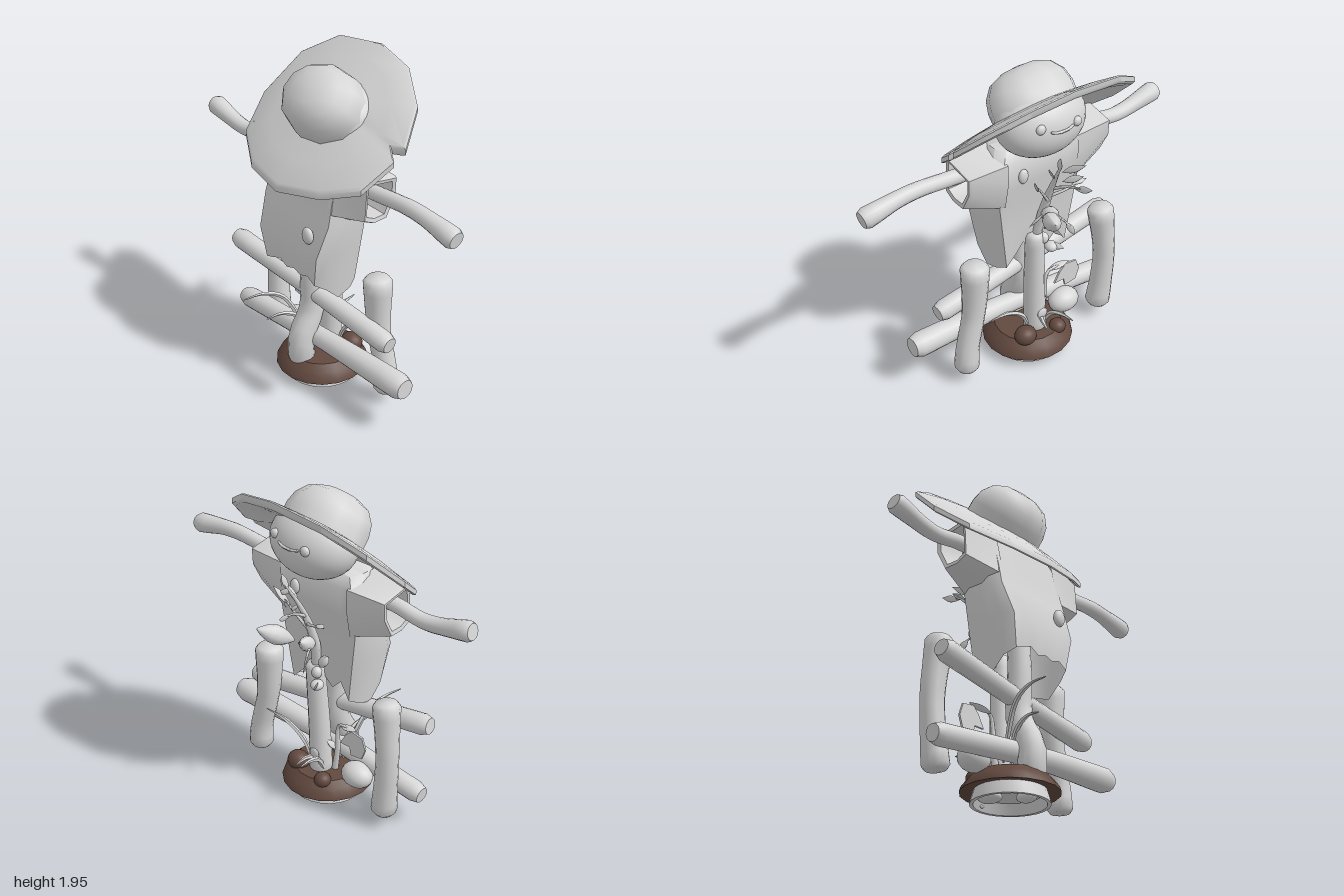
import * as THREE from 'three';
import { mergeVertices, toCreasedNormals } from 'three/addons/utils/BufferGeometryUtils.js';

const grey = new THREE.MeshStandardMaterial({ color: 0xd6d6d6, side: THREE.DoubleSide });
grey.name = 'paleGrey';
const brown = new THREE.MeshStandardMaterial({ color: 0x62493f, side: THREE.DoubleSide });
brown.name = 'soilBrown';
const V = (p) => new THREE.Vector3(...p);

export function createModel() {
  const model = new THREE.Group();
  const add = (name, geometry, material = grey, parent = model) => {
    const mesh = new THREE.Mesh(geometry, material);
    mesh.name = name;
    parent.add(mesh);
    return mesh;
  };
  const group = (name) => {
    const g = new THREE.Group();
    g.name = name;
    model.add(g);
    return g;
  };

  // Bent log or twig with varying radius and blunt, softened ends
  const limb = (name, points, radii, parent = model, sides = 14) => {
    const curve = new THREE.CatmullRomCurve3(points.map(V));
    const n = 20;
    const geo = new THREE.TubeGeometry(curve, n, 1, sides);
    const pos = geo.attributes.position, v = new THREE.Vector3();
    for (let i = 0; i <= n; i++) {
      const s = Math.min(1, Math.max(0, (i - 1) / (n - 2)));
      const k = s * (radii.length - 1), a = Math.min(Math.floor(k), radii.length - 2);
      const edge = Math.min(i, n - i);
      const r = THREE.MathUtils.lerp(radii[a], radii[a + 1], k - a) * (edge === 0 ? 0 : edge === 1 ? 0.75 : 1);
      const old = curve.getPointAt(i / n);
      let t = s;
      if (edge === 2) t = i === 2 ? 0.035 : 0.965;
      const centre = curve.getPointAt(t);
      for (let j = 0; j <= sides; j++) {
        const id = i * (sides + 1) + j;
        v.fromBufferAttribute(pos, id).sub(old).multiplyScalar(r).add(centre);
        pos.setXYZ(id, v.x, v.y, v.z);
      }
    }
    geo.deleteAttribute('uv');
    geo.deleteAttribute('normal');
    return add(name, toCreasedNormals(mergeVertices(geo, 1e-5), 1.1), grey, parent);
  };

  // Pointed ellipsoid from base to tip, flattened for leaves
  const spindle = (name, base, tip, width, flat, parent = model, point = 0.6) => {
    const a = V(base), b = V(tip), len = a.distanceTo(b);
    const geo = new THREE.SphereGeometry(1, 12, 10), p = geo.attributes.position;
    for (let i = 0; i < p.count; i++) {
      const k = 1 - point * Math.abs(p.getY(i)) ** 2;
      p.setXYZ(i, p.getX(i) * width * k, p.getY(i) * len / 2, p.getZ(i) * width * flat * k);
    }
    geo.computeVertexNormals();
    const mesh = add(name, geo, grey, parent);
    mesh.position.copy(a).add(b).multiplyScalar(0.5);
    mesh.quaternion.setFromUnitVectors(new THREE.Vector3(0, 1, 0), b.sub(a).normalize());
    return mesh;
  };
  const ball = (name, at, size, material = grey, parent = model) => {
    const mesh = add(name, new THREE.SphereGeometry(1, 18, 12), material, parent);
    mesh.position.set(...at);
    mesh.scale.set(...size);
    return mesh;
  };

  // Skin through equal rings of points
  const loft = (name, rings, parent, crease = 0.5) => {
    const m = rings[0].length, index = [];
    for (let i = 0; i < rings.length - 1; i++)
      for (let j = 0; j < m; j++) {
        const a = i * m + j, b = i * m + (j + 1) % m;
        index.push(a, b, a + m, b, b + m, a + m);
      }
    const geo = new THREE.BufferGeometry();
    geo.setAttribute('position', new THREE.Float32BufferAttribute(rings.flat(2), 3));
    geo.setIndex(index);
    return add(name, toCreasedNormals(geo, crease), grey, parent);
  };
  const lathe = (profile, sides, crease = 0.6) =>
    toCreasedNormals(new THREE.LatheGeometry(profile.map((p) => new THREE.Vector2(...p)), sides), crease);

  // Soil mound on a low hollow foot
  const soil = add('soilMound', lathe([[0.19, 0.075], [0.27, 0.06], [0.262, 0.085], [0.235, 0.12], [0.2, 0.155],
    [0, 0.165]], 18), brown);
  const foot = add('foot', lathe([[0, 0.06], [0.17, 0.06], [0.195, 0], [0.215, 0], [0.205, 0.04], [0.19, 0.09]], 24));
  for (const m of [soil, foot]) m.position.set(-0.03, 0, -0.05);
  ball('footPebble', [0.05, 0.04, -0.12], [0.07, 0.03, 0.06]);
  ball('footPebble', [-0.1, 0.04, 0.0], [0.06, 0.03, 0.05]);
  ball('footPebble', [0.17, 0.025, -0.07], [0.025, 0.012, 0.025]);
  ball('soilClod', [0.1, 0.175, 0.065], [0.062, 0.058, 0.068], brown);
  ball('soilClod', [0.13, 0.155, -0.15], [0.05, 0.045, 0.05], brown);
  ball('boulder', [0.0, 0.195, -0.3], [0.08, 0.075, 0.1]);

  // Fence
  const fence = group('fence');
  limb('fencePost', [[0.03, 0.08, 0.44], [0.03, 0.22, 0.43], [0.025, 0.48, 0.375], [0.025, 0.8, 0.358]],
    [0.075, 0.066, 0.066, 0.075, 0.087], fence);
  limb('fencePost', [[0.04, 0.08, -0.535], [0.05, 0.25, -0.55], [0.055, 0.48, -0.56], [0.04, 0.81, -0.53]],
    [0.077, 0.068, 0.065, 0.07, 0.082], fence);
  limb('upperRail', [[-0.065, 0.495, 0.56], [-0.09, 0.56, 0], [-0.135, 0.645, -0.7]], [0.062, 0.055, 0.062], fence);
  limb('lowerRail', [[-0.095, 0.305, 0.72], [-0.1, 0.28, 0.1], [-0.09, 0.2, -0.7]], [0.076, 0.06, 0.062], fence);

  // Stump in front, crooked pole behind that carries the figure
  limb('stump', [[0.035, 0.12, -0.055], [0.04, 0.45, -0.045], [0.06, 0.87, -0.03]], [0.068, 0.062, 0.055]);
  ball('stumpKnot', [0.1, 0.28, -0.06], [0.012, 0.035, 0.035]);
  limb('pole', [[-0.18, 0.1, -0.055], [-0.18, 0.28, -0.055], [-0.1, 0.45, -0.055], [-0.1, 0.75, -0.055],
    [-0.05, 1.45, -0.055]], [0.08, 0.075, 0.065, 0.065, 0.06]);

  // Arms
  limb('leftArm', [[-0.05, 1.36, 0.2], [-0.05, 1.38, 0.42], [-0.05, 1.4, 0.7], [-0.05, 1.36, 0.99]],
    [0.04, 0.042, 0.042, 0.046, 0.062]);
  limb('rightArm', [[-0.04, 1.37, -0.3], [-0.045, 1.365, -0.5], [-0.05, 1.335, -0.7], [-0.05, 1.39, -0.99]],
    [0.04, 0.042, 0.042, 0.046, 0.06]);

  // Shirt body: levels of height, back x, front x, half width; ragged last level
  const shirt = group('shirt');
  const zc = -0.055, jag = [0.69, 0.75, 0.82, 0.73, 0.79, 0.74, 0.8, 0.7];
  const level = (y, x0, x1, w, hem) => {
    const ring = [], c = 0.06, half = (f) => f * (w - 0.03);
    const side = (s) => [[x1 - c, hem ? 0.67 : y, zc + s * w], [(x0 + x1) / 2, hem ? 0.64 : y, zc + s * w],
      [x0 + c, hem ? 0.725 : y, zc + s * w]];
    for (let i = 0; i < 8; i++) ring.push([x1, hem ? jag[i] : y, zc + half(1 - i * 2 / 7)]);
    ring.push(...side(-1));
    for (let i = 0; i < 8; i++) ring.push([x0, hem ? jag[i] / 3 + 0.53 : y, zc - half(1 - i * 2 / 7)]);
    ring.push(...side(1).reverse());
    return ring;
  };
  loft('shirtBody', [level(1.49, -0.09, 0.03, 0.08), level(1.48, -0.12, 0.05, 0.24), level(1.42, -0.135, 0.095, 0.29),
    level(1.26, -0.175, 0.09, 0.29), level(1.14, -0.205, 0.065, 0.298), level(0.95, -0.27, 0.055, 0.272),
    level(0.72, -0.255, 0.04, 0.237, true)], shirt, 0.8);

  // Open six-sided sleeves, flush with the chest, with a turned-in cuff
  const cuff = [[-0.125, 1.47], [0.09, 1.43], [0.085, 1.33], [0.02, 1.205], [-0.07, 1.205], [-0.14, 1.24]];
  const shoulder = [[-0.13, 1.48], [0.1, 1.43], [0.105, 1.32], [0.072, 1.14], [-0.09, 1.14], [-0.19, 1.2]];
  for (const s of [1, -1]) {
    const at = (ring, d) => ring.map(([x, y]) => [x, y, zc + s * d]);
    const inset = (k) => cuff.map(([x, y]) => [-0.04 + (x + 0.04) * k, 1.34 + (y - 1.34) * k]);
    loft('sleeve', [at(shoulder, 0.235), at(cuff, 0.46), at(inset(0.95), 0.475), at(inset(0.78), 0.47),
      at(inset(0.74), 0.3)], shirt, 0.7);
  }
  ball('button', [0.1, 1.32, 0.08], [0.02, 0.045, 0.03], grey, shirt);
  ball('backPatch', [-0.255, 1.06, 0.1], [0.025, 0.05, 0.04], grey, shirt);

  // Head and face
  const head = group('head');
  const hc = [0.08, 1.63, -0.045], hr = [0.2, 0.2, 0.265];
  const face = add('face', new THREE.SphereGeometry(1, 32, 24), grey, head);
  face.position.set(...hc);
  face.scale.set(...hr);
  const onFace = (y, z) => hc[0] + hr[0] * Math.sqrt(1 - ((y - hc[1]) / hr[1]) ** 2 - ((z - hc[2]) / hr[2]) ** 2);
  for (const [y, z] of [[1.69, 0.08], [1.665, -0.145]])
    ball('eye', [onFace(y, z), y, z], [0.02, 0.028, 0.028], grey, head);
  limb('smile', [[1.667, 0.032], [1.657, 0], [1.654, -0.04], [1.655, -0.08], [1.662, -0.112]]
    .map(([y, z]) => [onFace(y, z) + 0.003, y, z]), [0.007, 0.008, 0.007], head, 8);

  // Straw hat: notched, sloping brim that droops to both sides, and a domed crown
  const hat = group('hat');
  const rim = [[0.065, 0.5], [0.04, 0.42], [0.0, 0.485], [-0.165, 0.42], [-0.27, 0.22], [-0.335, -0.06], [-0.29, -0.33],
    [-0.165, -0.54], [0.03, -0.615], [0.25, -0.545], [0.36, -0.345], [0.385, -0.03], [0.345, 0.22], [0.23, 0.41]];
  const brimRing = (k, lift) => rim.map(([px, pz]) => {
    const x = 0.02 + (px - 0.02) * k, dz = (pz + 0.05) * k;
    const droop = (dz < 0 ? 0.07 : 0.045) * (dz / 0.56) ** 2;
    return [x, 1.595 + 0.87 * (x - 0.02) + lift - droop, dz - 0.05];
  });
  loft('brim', [brimRing(0.42, 0.035), brimRing(0.7, 0.02), brimRing(0.97, -0.005), brimRing(1, 0.005),
    brimRing(1, 0.035), brimRing(0.97, 0.045), brimRing(0.7, 0.065), brimRing(0.42, 0.08)], hat, 0.6);
  const crown = add('crown', lathe([[1, -0.15], [1, 0.25], [0.93, 0.55], [0.73, 0.82], [0.4, 0.96], [0, 1]], 11, 0.9),
    grey, hat);
  crown.position.set(0.025, 1.67, -0.055);
  crown.scale.set(0.21, 0.23, 0.255);
  crown.rotation.z = 0.72;

  // Vine growing from the stump, with pods and leaves
  const vine = group('vine');
  limb('vineStem', [[0.06, 0.84, -0.04], [0.09, 1.0, -0.06], [0.13, 1.13, -0.06], [0.2, 1.29, -0.05], [0.29, 1.45, -0.02]],
    [0.025, 0.03, 0.022, 0.013, 0.005], vine, 8);
  const twigs = [[[0.15, 1.16, -0.06], [0.2, 1.2, -0.13], [0.22, 1.235, -0.24]],
    [[0.17, 1.22, -0.06], [0.27, 1.28, -0.08], [0.36, 1.31, -0.1]],
    [[0.14, 1.12, -0.06], [0.18, 1.22, 0.01], [0.2, 1.29, 0.06]],
    [[0.11, 1.04, -0.06], [0.19, 1.02, -0.1], [0.25, 0.98, -0.13]]];
  for (const t of twigs) limb('twig', t, [0.011, 0.005], vine, 6);
  spindle('pod', [0.2, 1.06, -0.01], [0.39, 1.175, 0.09], 0.055, 0.9, vine);
  spindle('pod', [0.09, 1.0, -0.05], [0.22, 1.08, -0.07], 0.045, 0.9, vine);
  spindle('pod', [0.07, 0.87, -0.09], [0.11, 0.97, -0.15], 0.035, 0.8, vine);
  ball('bud', [0.12, 0.775, -0.1], [0.04, 0.03, 0.036], grey, vine);
  ball('bud', [0.09, 0.83, -0.07], [0.03, 0.035, 0.03], grey, vine);
  const leaves = [[[0.26, 1.39, -0.03], [0.3, 1.51, -0.01]], [[0.27, 1.39, -0.04], [0.4, 1.48, -0.1]],
    [[0.2, 1.3, -0.05], [0.24, 1.42, 0.02]], [[0.32, 1.29, -0.09], [0.435, 1.33, -0.12]],
    [[0.17, 1.24, 0.04], [0.24, 1.37, 0.11]], [[0.24, 1.3, -0.07], [0.35, 1.37, -0.13]],
    [[0.2, 1.22, -0.17], [0.23, 1.24, -0.25]], [[0.22, 1.0, -0.12], [0.28, 0.93, -0.14]],
    [[0.14, 1.05, -0.04], [0.11, 0.97, 0.05]], [[0.1, 0.79, -0.09], [0.19, 0.78, -0.14]]];
  for (const [a, b] of leaves) spindle('vineLeaf', a, b, 0.02, 0.25, vine, 0.95);

  // Grass blades around the base
  const grass = group('grass');
  const blades = [[[-0.06, 0.2, -0.14], [-0.2, 0.49, -0.2], [-0.32, 0.545, -0.23], [-0.44, 0.545, -0.25]],
    [[-0.08, 0.18, -0.1], [-0.14, 0.36, -0.13], [-0.24, 0.41, -0.16], [-0.335, 0.4, -0.18]],
    [[0.05, 0.16, 0.0], [0.06, 0.3, 0.06], [0.08, 0.39, 0.18], [0.1, 0.42, 0.32]],
    [[0.05, 0.15, -0.1], [0.12, 0.27, -0.11], [0.2, 0.31, -0.12], [0.295, 0.32, -0.13]],
    [[0.06, 0.16, -0.06], [0.1, 0.25, -0.05], [0.15, 0.255, -0.03], [0.21, 0.235, -0.02]]];
  for (const b of blades) limb('grassBlade', b, [0.008, 0.015, 0.013, 0.003], grass, 5);

  // Broad-leaved seedling beside the stump
  const seedling = group('seedling');
  limb('seedlingStem', [[0.0, 0.14, -0.13], [0.0, 0.3, -0.15], [0.01, 0.48, -0.17], [0.02, 0.5, -0.26]],
    [0.02, 0.017, 0.012, 0.006], seedling, 8);
  const leaf = new THREE.Shape([[-0.2, 0.39], [-0.24, 0.46], [-0.28, 0.5], [-0.36, 0.49], [-0.385, 0.42], [-0.36, 0.35],
    [-0.28, 0.34], [-0.27, 0.39]].map(([z, y]) => new THREE.Vector2(-z, y)));
  const broadLeaf = add('broadLeaf', new THREE.ExtrudeGeometry(leaf, { depth: 0.012, bevelEnabled: false }), grey, seedling);
  broadLeaf.rotation.y = Math.PI / 2;
  broadLeaf.position.x = 0.025;
  spindle('seedlingLeaf', [0.0, 0.48, -0.17], [0.03, 0.51, -0.31], 0.025, 0.3, seedling);
  spindle('seedlingLeaf', [0.0, 0.3, -0.15], [0.05, 0.37, -0.11], 0.02, 0.3, seedling);
  return model;
}
